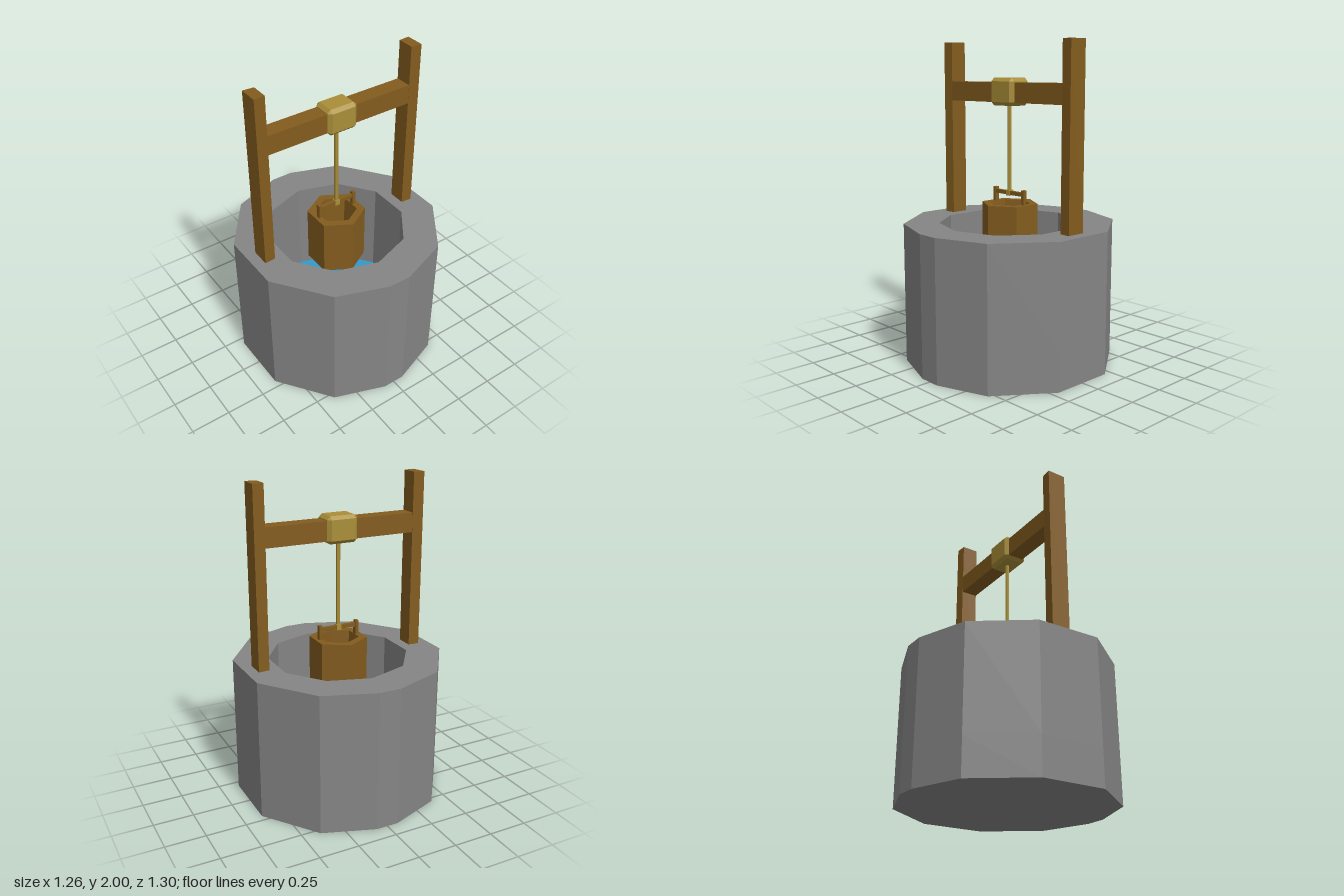
import * as THREE from 'three';
import { ConvexGeometry } from 'three/addons/geometries/ConvexGeometry.js';

const material = (color) => new THREE.MeshStandardMaterial({ color, flatShading: true });

export function createModel() {
  const well = new THREE.Group();
  well.name = 'well';
  const stone = material(0x858585);
  const wood = material(0x835c1e);
  const hemp = material(0xa98e38);
  const blue = material(0x3598c8);

  const add = (name, geometry, mat, x = 0, y = 0, z = 0, parent = well) => {
    const mesh = new THREE.Mesh(geometry, mat);
    mesh.name = name;
    mesh.position.set(x, y, z);
    parent.add(mesh);
    return mesh;
  };
  // Upright prism from a plan outline, with an optional hole
  const prism = (outline, height, hole) => {
    const shape = new THREE.Shape(outline);
    if (hole) shape.holes.push(new THREE.Path(hole));
    return new THREE.ExtrudeGeometry(shape, { depth: height, bevelEnabled: false }).rotateX(-Math.PI / 2);
  };
  const box = (w, h, d) => new THREE.BoxGeometry(w, h, d);

  // Stone wall: twelve-sided outside, ten-sided shaft
  const waterY = 0.25, rimY = 0.885;
  const quarter = [[0.63, 0.203], [0.39, 0.535], [0.07, 0.65]];
  const half = [...quarter, ...[...quarter].reverse().map(([x, z]) => [-x, z])];
  const outer = [...half, ...half.map(([x, z]) => [-x, -z])].map(([x, z]) => new THREE.Vector2(x, z));
  const inner = Array.from({ length: 10 }, (_, i) => {
    const a = (i * Math.PI) / 5;
    return new THREE.Vector2(0.442 * Math.sin(a), 0.442 * Math.cos(a));
  });
  add('stoneBase', prism(outer, waterY - 0.02), stone);
  add('stoneWall', prism(outer, rimY - waterY + 0.02, inner), stone, 0, waterY - 0.02);
  add('water', new THREE.CylinderGeometry(0.442, 0.442, 0.02, 10), blue, 0, waterY - 0.01);

  // Posts, slightly wider on their outer side, and the crossbeam
  const postPlan = [[0.49, -0.054], [0.56, -0.06], [0.56, 0.06], [0.49, 0.054]].map(([x, z]) => new THREE.Vector2(x, z));
  for (const side of [1, -1]) {
    const post = add(side > 0 ? 'leftPost' : 'rightPost', prism(postPlan, 2 - rimY), wood, 0, rimY);
    if (side < 0) post.rotation.y = Math.PI;
  }
  add('crossbeam', box(0.98, 0.122, 0.106), wood, 0, 1.69);

  // Chamfered coil of rope around the beam
  const size = [0.1, 0.084, 0.077], chamfer = 0.021, corners = [];
  for (let axis = 0; axis < 3; axis++)
    for (const sx of [1, -1]) for (const sy of [1, -1]) for (const sz of [1, -1]) {
      const e = size.map((s, i) => (i === axis ? s : s - chamfer));
      corners.push(new THREE.Vector3(sx * e[0], sy * e[1], sz * e[2]));
    }
  add('ropeCoil', new ConvexGeometry(corners), hemp, 0, 1.694, 0.002);
  add('rope', new THREE.CylinderGeometry(0.013, 0.013, 0.56, 6), hemp, 0, 1.34);
  add('ropeKnot', box(0.032, 0.034, 0.034), hemp, 0, 1.068);

  // Six-sided hollow bucket with its handle
  const bucket = new THREE.Group();
  bucket.name = 'bucket';
  well.add(bucket);
  const profile = [[0, 0.64], [0.181, 0.64], [0.181, 1.005], [0.13, 1.005], [0.108, 0.7], [0, 0.7]];
  add('bucketBody', new THREE.LatheGeometry(profile.map(([r, y]) => new THREE.Vector2(r, y)), 6), wood, 0, 0, 0, bucket);
  for (const side of [1, -1])
    add(side > 0 ? 'leftHandleUpright' : 'rightHandleUpright', box(0.022, 0.1, 0.028), wood, side * 0.126, 1.045, 0, bucket);
  add('handleBar', box(0.232, 0.024, 0.022), wood, 0, 1.068, 0, bucket);

  return well;
}
